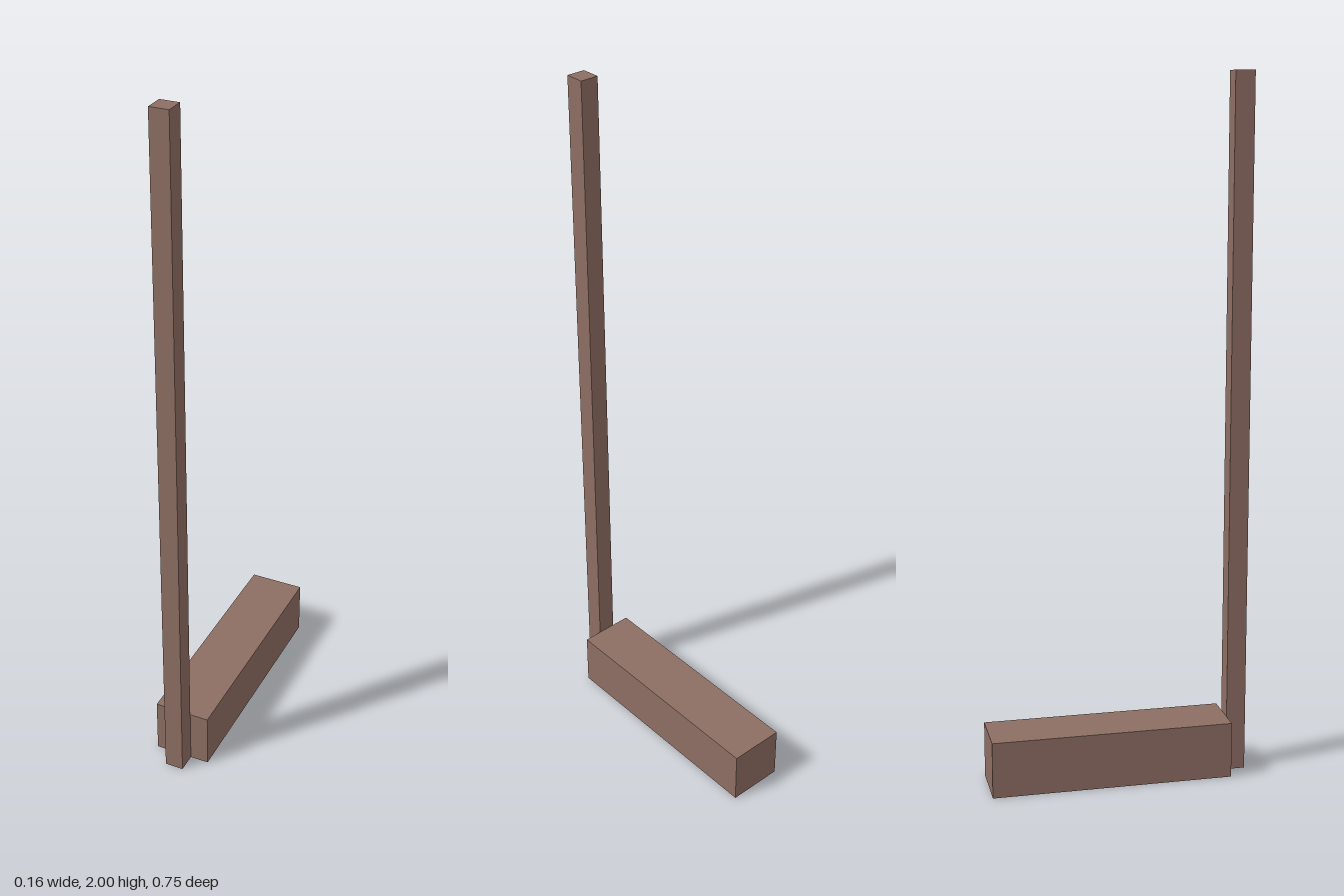
import * as THREE from 'three';

const DEPTH = 0.752; // overall length along z
const POST = 0.054;  // square section of the post
const BEAM = 0.163;  // square section of the beam

export function createModel() {
  const model = new THREE.Group();
  const wood = new THREE.MeshStandardMaterial({ color: 0x8d6e63, flatShading: true });

  // Adds a box standing on the ground with its front face at zFront
  function addBlock(name, width, height, depth, zFront) {
    const mesh = new THREE.Mesh(new THREE.BoxGeometry(width, height, depth), wood);
    mesh.name = name;
    mesh.position.set(0, height / 2, zFront - depth / 2);
    model.add(mesh);
  }

  // Tall slim post at the front
  addBlock('post', POST, 2, POST + 0.002, DEPTH / 2);

  // Thick beam lying on the ground behind the post
  const beamLength = DEPTH - POST - 0.002;
  addBlock('beam', BEAM, BEAM, beamLength, -DEPTH / 2 + beamLength);

  return model;
}
